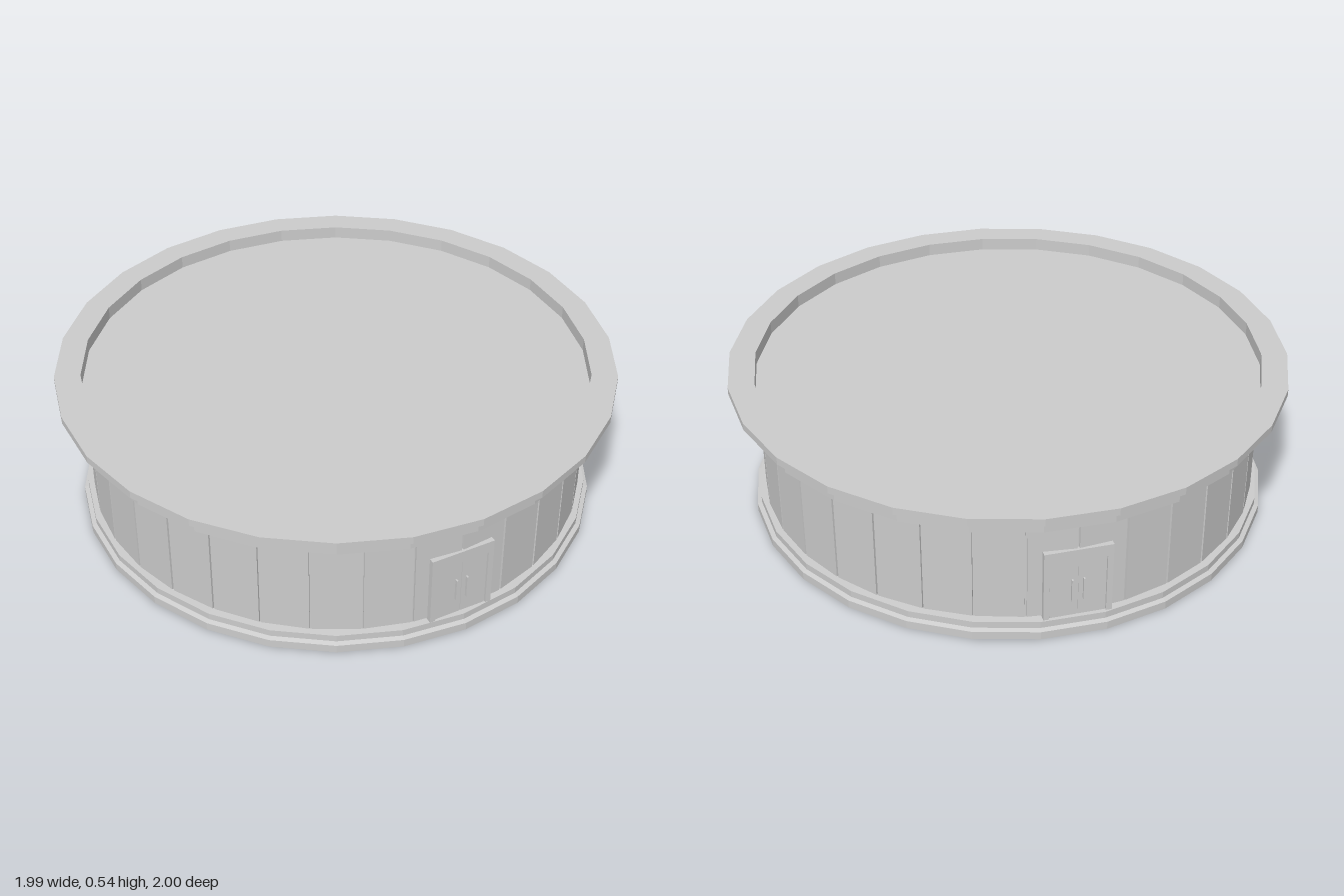
import * as THREE from 'three';

const RING_SIDES = 26, PANELS = 33;
const RING_START = THREE.MathUtils.degToRad(1.6);
const WALL_START = THREE.MathUtils.degToRad(1.2);
const STEP = (Math.PI * 2) / PANELS;
const material = new THREE.MeshStandardMaterial({ color: 0xcccccc, flatShading: true });

function add(parent, name, geometry) {
  const mesh = new THREE.Mesh(geometry, material);
  mesh.name = name;
  parent.add(mesh);
  return mesh;
}

// faceted ring or disc from a profile listed as [radius, height]
function ring(parent, name, profile, sides = RING_SIDES, start = RING_START) {
  const points = profile.map(([r, y]) => new THREE.Vector2(r, y));
  return add(parent, name, new THREE.LatheGeometry(points, sides, start));
}

// box given by width, bottom, top and its back and front distance from the axis
function slab(parent, name, x, width, bottom, top, back, front) {
  const mesh = add(parent, name, new THREE.BoxGeometry(width, top - bottom, front - back));
  mesh.position.set(x, (bottom + top) / 2, (back + front) / 2);
  return mesh;
}

// double door with a surround, two leaves and two pull handles
function door(parent, name, angle) {
  const group = new THREE.Group();
  group.name = name;
  for (const side of [-1, 1]) {
    slab(group, 'doorJamb', side * 0.1075, 0.02, 0.055, 0.33, 0.87, 0.908);
    slab(group, 'doorLeaf', side * 0.0485, 0.094, 0.06, 0.282, 0.88, 0.902);
    slab(group, 'doorHandle', side * 0.02, 0.006, 0.125, 0.21, 0.9, 0.912);
  }
  slab(group, 'doorLintel', 0, 0.195, 0.285, 0.33, 0.87, 0.908);
  slab(group, 'doorBacking', 0, 0.195, 0.06, 0.285, 0.87, 0.899);
  group.rotation.y = angle;
  parent.add(group);
}

export function createModel() {
  const model = new THREE.Group();
  model.name = 'roundBuilding';

  // stepped plinth
  ring(model, 'plinth', [[0, 0], [0.938, 0], [0.938, 0.03], [0.922, 0.035], [0.922, 0.06], [0.87, 0.062]]);

  // wall core behind the panels
  ring(model, 'wallCore', [[0.892, 0.05], [0.892, 0.475]], PANELS, WALL_START);

  // flat wall panels with narrow joints
  const chord = 2 * 0.9 * Math.sin(STEP / 2);
  const apothem = 0.9 * Math.cos(STEP / 2);
  for (let i = 0; i < PANELS; i++) {
    const pivot = new THREE.Group();
    pivot.name = 'wallPanel';
    pivot.rotation.y = WALL_START + (i + 0.5) * STEP;
    slab(pivot, 'panel', 0, chord - 0.008, 0.067, 0.455, apothem - 0.01, apothem);
    model.add(pivot);
  }

  // doors, each centred on a panel joint
  door(model, 'frontDoor', WALL_START);
  door(model, 'backDoor', WALL_START + 16 * STEP);

  // cornice, parapet and sunken roof deck
  ring(model, 'corniceAndRoof', [
    [0.86, 0.465], [0.972, 0.465], [0.972, 0.495], [0.985, 0.5], [1, 0.51], [1, 0.537],
    [0.907, 0.537], [0.907, 0.49], [0, 0.49],
  ]);

  return model;
}
